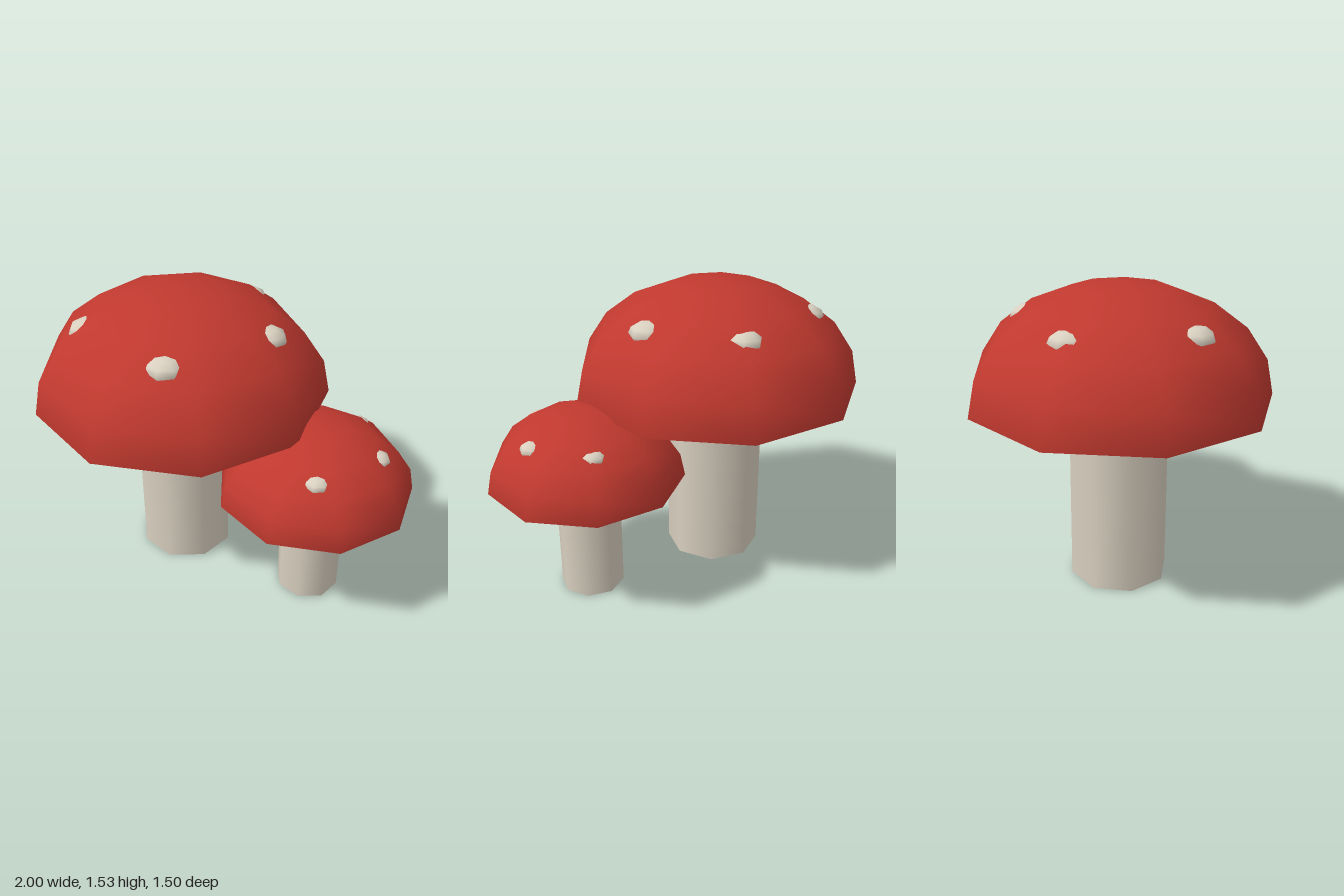
import * as THREE from 'three';

const red = new THREE.MeshStandardMaterial({ color: 0xc0392f, side: THREE.DoubleSide });
red.name = 'cap red';
const cream = new THREE.MeshStandardMaterial({ color: 0xd9d0c0 });
cream.name = 'cream';

function part(name, geometry, material, x = 0, y = 0, z = 0) {
  const mesh = new THREE.Mesh(geometry, material);
  mesh.name = name;
  mesh.position.set(x, y, z);
  return mesh;
}

// One mushroom: plain stem, hollow domed cap and five half-sunk spots
function createMushroom(name) {
  const mushroom = new THREE.Group();
  mushroom.name = name;

  const stemHeight = 1.017;
  mushroom.add(part('stem', new THREE.CylinderGeometry(0.255, 0.255, stemHeight, 8), cream, 0, stemHeight / 2, 0));

  const dome = new THREE.SphereGeometry(0.763, 9, 5, 0, Math.PI * 2, 0, Math.PI / 2);
  dome.scale(1, 0.753, 1);
  mushroom.add(part('cap', dome, red, 0, 0.96, 0));

  const spot = new THREE.SphereGeometry(0.102, 8, 6);
  spot.scale(1, 0.6, 1);
  for (let i = 0; i < 5; i++) {
    const a = i * 1.3;
    mushroom.add(part('spot', spot, cream, Math.cos(a) * 0.45, 1.343, Math.sin(a) * 0.45));
  }
  return mushroom;
}

export function createModel() {
  const model = new THREE.Group();
  model.name = 'mushrooms';

  const large = createMushroom('largeMushroom');
  large.position.set(-0.237, 0, 0);

  const small = createMushroom('smallMushroom');
  small.scale.setScalar(0.651);
  small.position.set(0.532, 0, 0.128);

  model.add(large, small);
  return model;
}
